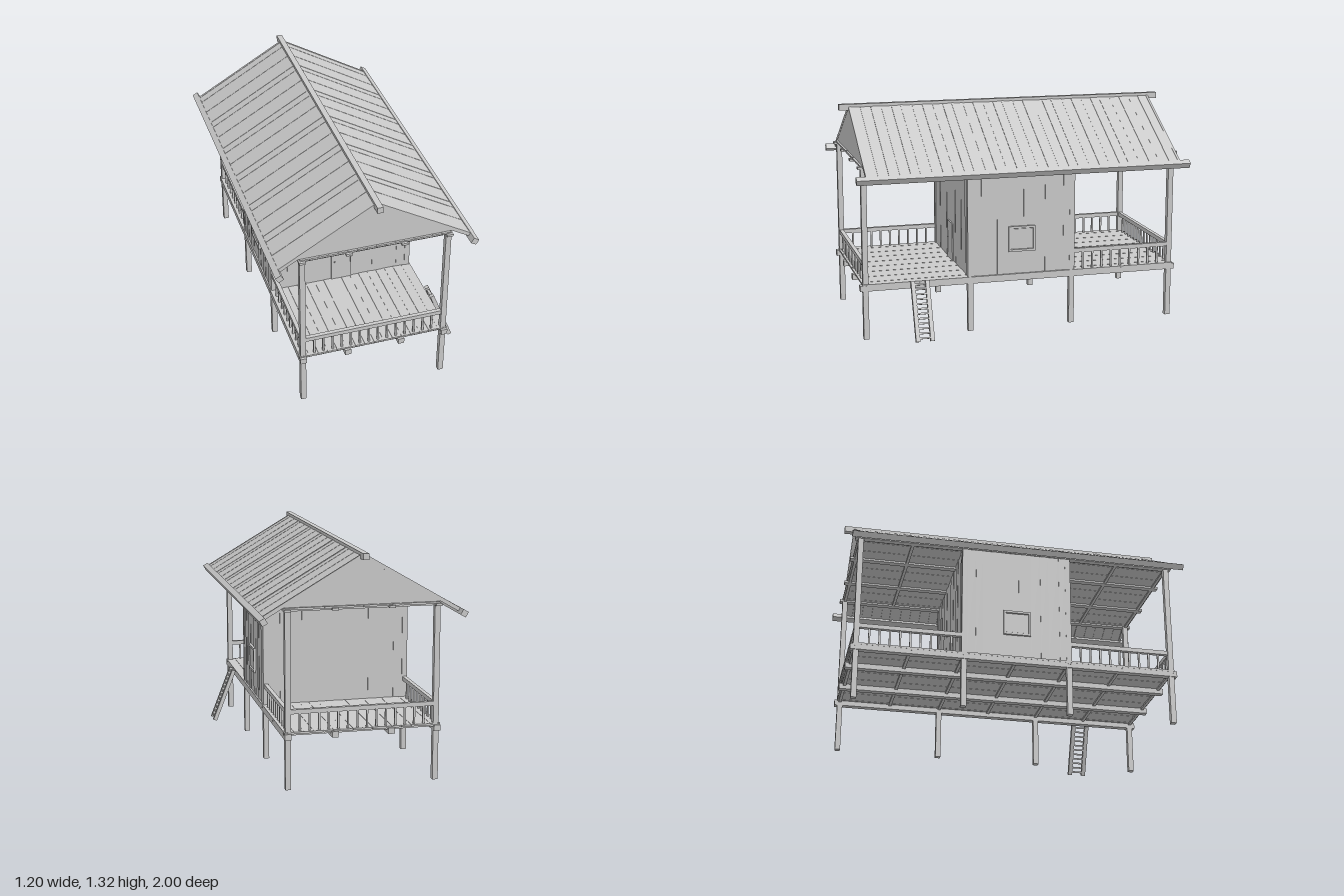
import * as THREE from 'three';

const mat = new THREE.MeshStandardMaterial({ color: 0xcccccc, flatShading: true });

export function createModel() {
  const root = new THREE.Group();
  root.name = 'stiltHouse';
  const house = new THREE.Group();
  house.name = 'house';
  house.position.x = -0.007;
  root.add(house);

  const group = (name, parent = house) => {
    const g = new THREE.Group();
    g.name = name;
    parent.add(g);
    return g;
  };
  const box = (parent, name, w, h, d, x, y, z) => {
    const m = new THREE.Mesh(new THREE.BoxGeometry(w, h, d), mat);
    m.name = name;
    m.position.set(x, y, z);
    parent.add(m);
    return m;
  };

  const PX = 0.427, PZ = 0.937, IZ = 0.313, FLOOR = 0.333, CEIL = 1.03;
  const bays = [-3, -2, -1, 0, 1, 2, 3].map(i => i * PZ / 3);

  // Posts
  const posts = group('posts');
  for (const x of [-PX, PX]) for (const z of [-PZ, -IZ, IZ, PZ])
    box(posts, 'post', 0.032, 1.02, 0.032, x, 0.51, z);

  // Floor and ceiling: long beams, cross joists and a boarded deck
  const deck = (name, top, beamH, hx, hz) => {
    const g = group(name);
    for (const x of [-0.43, -0.162, 0.162, 0.43])
      box(g, 'longBeam', 0.037, beamH, 1.94, x, top - 0.008 - beamH / 2, 0);
    for (const z of bays)
      box(g, 'crossJoist', hx * 2, 0.012, 0.018, 0, top - 0.015, z);
    const n = 16, w = hx * 2 / n;
    for (let i = 0; i < n; i++)
      box(g, 'board', w - 0.001, 0.011, hz * 2, -hx + (i + 0.5) * w, top - 0.0055 - (i % 2) * 0.001, 0);
  };
  deck('floor', FLOOR, 0.034, 0.45, 0.955);
  deck('ceiling', CEIL, 0.014, 0.44, 0.955);

  // Room walls made of vertical planks with slight depth changes
  const wall = (name, len, x, z, turn) => {
    const g = group(name);
    g.position.set(x, 0, z);
    g.rotation.y = turn;
    const cuts = [0, 0.09, 0.16, 0.25, 0.37, 0.52, 0.64, 0.74, 0.82, 0.93, 1];
    for (let i = 0; i < cuts.length - 1; i++) {
      const a = cuts[i] * len, b = cuts[i + 1] * len;
      box(g, 'plank', b - a, CEIL - 0.01 - FLOOR, 0.02, (a + b) / 2 - len / 2,
        (FLOOR + CEIL - 0.01) / 2, (i % 2) * 0.002);
    }
    return g;
  };
  const frontWall = wall('frontWall', 0.83, 0, IZ, 0);
  wall('backWall', 0.83, 0, -IZ, Math.PI);
  const sideWalls = [1, -1].map(s =>
    wall(s > 0 ? 'leftWall' : 'rightWall', 0.6, s * (PX + 0.003), 0, s * Math.PI / 2));

  // Door with a thin frame and knob
  const door = group('door', frontWall);
  box(door, 'doorLeaf', 0.112, 0.228, 0.008, 0, FLOOR + 0.114, 0.014);
  for (const x of [-0.06, 0.06]) box(door, 'doorJamb', 0.006, 0.234, 0.01, x, FLOOR + 0.117, 0.014);
  box(door, 'doorHead', 0.126, 0.006, 0.01, 0, FLOOR + 0.231, 0.014);
  const knob = new THREE.Mesh(new THREE.SphereGeometry(0.005, 8, 6), mat);
  knob.name = 'doorKnob';
  knob.position.set(-0.044, 0.463, 0.022);
  door.add(knob);

  // Framed window on each side wall
  for (const w of sideWalls) {
    const win = group('window', w);
    win.position.set(0, 0.545, 0.014);
    box(win, 'windowPane', 0.14, 0.12, 0.006, 0, 0, 0);
    for (const s of [-1, 1]) {
      box(win, 'windowJamb', 0.013, 0.15, 0.016, s * 0.075, 0, 0.002);
      box(win, 'windowRail', 0.163, 0.013, 0.016, 0, s * 0.07, 0.002);
    }
  }

  // Railings; the front porch stays open on the ladder side
  const railing = (name, x, z, len, count, turn) => {
    const g = group(name);
    g.position.set(x, 0, z);
    g.rotation.y = turn;
    box(g, 'handrail', len, 0.025, 0.024, 0, 0.446, 0);
    for (let i = 1; i <= count; i++)
      box(g, 'baluster', 0.011, 0.105, 0.011, -len / 2 + len * i / (count + 1), 0.384, 0);
  };
  const porch = (PZ + IZ) / 2, sideLen = PZ - IZ - 0.03;
  railing('frontRailing', 0, PZ, 0.824, 14, 0);
  railing('backRailing', 0, -PZ, 0.824, 14, 0);
  railing('frontRightRailing', -PX, porch, sideLen, 9, Math.PI / 2);
  railing('backRightRailing', -PX, -porch, sideLen, 9, Math.PI / 2);
  railing('backLeftRailing', PX, -porch, sideLen, 9, Math.PI / 2);

  // Roof: two slopes of panels divided by rafters, each with an eave beam
  const APEX = 1.315, SLOPE = Math.atan(0.582), LEN = 0.667;
  for (const s of [1, -1]) {
    const g = group(s > 0 ? 'leftRoof' : 'rightRoof');
    g.position.y = APEX;
    g.rotation.z = -s * SLOPE;
    for (let i = 0; i < 6; i++)
      for (let j = 0; j < 5; j++) {
        const w = (bays[1] - bays[0]) / 5;
        box(g, 'roofBoard', LEN, 0.012, w - 0.001, s * LEN / 2, -0.008 - (j % 2) * 0.001,
          bays[i] + (j + 0.5) * w);
      }
    for (const z of bays)
      box(g, 'rafter', LEN, 0.022, 0.014, s * LEN / 2, -0.011, z);
    box(g, 'eaveBeam', 0.035, 0.035, 2, s * LEN, -0.016, 0);
  }
  box(house, 'ridgeBeam', 0.034, 0.036, 2, 0, 1.302, 0);

  // Boarded gables at both ends
  const baseHalf = (APEX - 0.012 - CEIL) / 0.582;
  const tri = new THREE.Shape([
    new THREE.Vector2(-baseHalf, CEIL), new THREE.Vector2(baseHalf, CEIL), new THREE.Vector2(0, APEX - 0.012),
  ]);
  for (const z of [PZ, -PZ]) {
    const m = new THREE.Mesh(new THREE.ExtrudeGeometry(tri, { depth: 0.012, bevelEnabled: false }), mat);
    m.name = 'gable';
    m.position.z = z - 0.006;
    house.add(m);
  }

  // Ladder leaning on the open side of the front porch
  const ladder = group('ladder', root);
  const top = new THREE.Vector2(0.458, 0.337), foot = new THREE.Vector2(0.587, 0.008);
  const len = top.distanceTo(foot), lean = Math.atan2(foot.x - top.x, top.y - foot.y);
  ladder.position.set((top.x + foot.x) / 2, (top.y + foot.y) / 2, 0.623);
  ladder.rotation.z = lean;
  for (const z of [-0.043, 0.043]) box(ladder, 'stringer', 0.024, len, 0.024, 0, 0, z);
  for (let i = 0; i < 12; i++)
    box(ladder, 'rung', 0.016, 0.01, 0.07, 0, -len / 2 + 0.02 + i * (len - 0.04) / 11, 0);

  return root;
}
